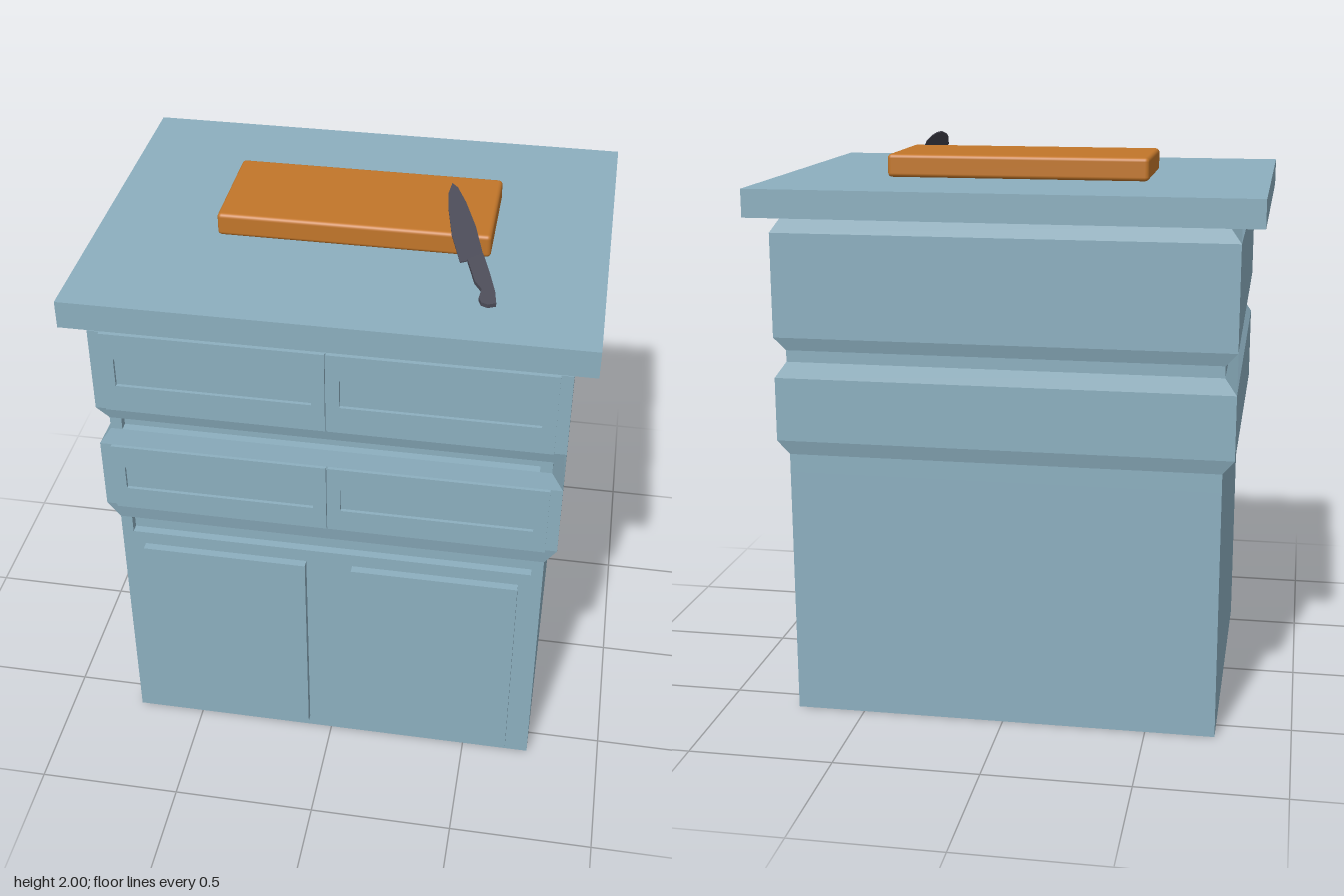
import * as THREE from 'three';
import { RoundedBoxGeometry } from 'three/addons/geometries/RoundedBoxGeometry.js';

const paint = new THREE.MeshStandardMaterial({ color: 0x8cafbf, flatShading: true });
const wood = new THREE.MeshStandardMaterial({ color: 0xc2762a });
const steel = new THREE.MeshStandardMaterial({ color: 0x4a4a56, flatShading: true });

function add(parent, name, geometry, material, x = 0, y = 0, z = 0) {
  const mesh = new THREE.Mesh(geometry, material);
  mesh.name = name;
  mesh.position.set(x, y, z);
  parent.add(mesh);
  return mesh;
}

// Box given by its limits
function block(parent, name, x0, x1, y0, y1, z0, z1) {
  return add(parent, name, new THREE.BoxGeometry(x1 - x0, y1 - y0, z1 - z0), paint,
    (x0 + x1) / 2, (y0 + y1) / 2, (z0 + z1) / 2);
}

function rectPath(path, x0, x1, y0, y1) {
  path.moveTo(x0, y0);
  path.lineTo(x1, y0);
  path.lineTo(x1, y1);
  path.lineTo(x0, y1);
  path.closePath();
  return path;
}

// Cabinet shell: rings [front height, back height, wide?, slot above?]
function cabinetGeometry() {
  const levels = [
    [0, 0, 0, 0], [0.875, 0.875, 0, 1], [0.94, 0.94, 0, 0],
    [1.005, 0.99, 1, 0], [1.265, 1.21, 1, 0],
    [1.325, 1.265, 0, 1], [1.37, 1.305, 0, 0],
    [1.415, 1.35, 1, 0], [1.72, 1.705, 1, 0], [1.76, 1.76, 0, 0],
  ];
  const rings = levels.map(([yf, yb, wide]) => {
    const x = wide ? 0.78 : 0.74, zf = wide ? 0.605 : 0.593, zb = wide ? -0.61 : -0.597;
    return [[-x, yf, zf], [x, yf, zf], [x, yb, zb], [-x, yb, zb]];
  });
  const pos = [];
  const quad = (a, b, c, d) => pos.push(...a, ...b, ...c, ...a, ...c, ...d);
  for (let i = 0; i < rings.length - 1; i++) {
    const lo = rings[i], hi = rings[i + 1];
    for (let s = 0; s < 4; s++) {
      const t = (s + 1) % 4;
      if (s > 0 || !levels[i][3]) { quad(lo[s], lo[t], hi[t], hi[s]); continue; }
      // Front row with a sunken slot
      const y0 = lo[0][1], y1 = hi[0][1], z = lo[0][2], w = 0.7, d = z - 0.03;
      for (const [a, b] of [[-0.74, -w], [w, 0.74]]) quad([a, y0, z], [b, y0, z], [b, y1, z], [a, y1, z]);
      quad([-w, y0, d], [w, y0, d], [w, y1, d], [-w, y1, d]);
      quad([-w, y0, z], [w, y0, z], [w, y0, d], [-w, y0, d]);
      quad([-w, y1, d], [w, y1, d], [w, y1, z], [-w, y1, z]);
      quad([-w, y0, z], [-w, y0, d], [-w, y1, d], [-w, y1, z]);
      quad([w, y0, d], [w, y0, z], [w, y1, z], [w, y1, d]);
    }
  }
  const base = rings[0], top = rings[rings.length - 1];
  quad(base[3], base[2], base[1], base[0]);
  quad(top[0], top[1], top[2], top[3]);
  const geo = new THREE.BufferGeometry();
  geo.setAttribute('position', new THREE.Float32BufferAttribute(pos, 3));
  geo.computeVertexNormals();
  return geo;
}

// Flat plate from plan points [x, z], sloping up toward the back
function slopedPlate(points, thickness, lift) {
  const shape = new THREE.Shape(points.map(([x, z]) => new THREE.Vector2(x, -z)));
  const geo = new THREE.ExtrudeGeometry(shape, { depth: thickness, bevelEnabled: false });
  geo.rotateX(-Math.PI / 2);
  const p = geo.attributes.position;
  for (let i = 0; i < p.count; i++) p.setY(i, p.getY(i) + lift + (0.475 - p.getZ(i)) * 0.265);
  geo.computeVertexNormals();
  return geo;
}

export function createModel() {
  const model = new THREE.Group();
  model.name = 'kitchenIsland';

  add(model, 'cabinet', cabinetGeometry(), paint);
  block(model, 'countertop', -0.855, 0.855, 1.76, 1.855, -0.66, 0.66);

  // Drawer fronts with sunken centre panels, and doors below
  const drawers = [[1.005, 1.265, 1.09, 1.18], [1.42, 1.72, 1.52, 1.625]];
  for (const side of [-1, 1]) {
    for (const [y0, y1, p0, p1] of drawers) {
      const shape = rectPath(new THREE.Shape(), 0.003, 0.74, y0, y1);
      shape.holes.push(rectPath(new THREE.Path(), 0.045, 0.695, p0, p1));
      const geo = new THREE.ExtrudeGeometry(shape, { depth: 0.014, bevelEnabled: false });
      geo.translate(-0.3715, 0, 0);
      add(model, 'drawerFront', geo, paint, side * 0.3715, 0, 0.603);
    }
    const cx = side * 0.37;
    block(model, 'door', cx - 0.289, cx + 0.289, 0.045, 0.825, 0.585, 0.622);
  }

  // Cutting board
  add(model, 'cuttingBoard', new RoundedBoxGeometry(0.915, 0.08, 0.4, 3, 0.014), wood, 0.0125, 1.895, -0.03);

  // Knife leaning on the board
  const knife = new THREE.Group();
  knife.name = 'knife';
  model.add(knife);
  add(knife, 'knifeBlade', slopedPlate([
    [0.314, -0.049], [0.307, 0.0], [0.314, 0.06], [0.342, 0.186], [0.383, 0.3],
    [0.406, 0.291], [0.452, 0.259], [0.415, 0.14], [0.37, 0.034], [0.335, -0.03],
  ], 0.004, 1.86), steel);
  add(knife, 'knifeHandle', slopedPlate([
    [0.406, 0.291], [0.42, 0.328], [0.439, 0.379], [0.465, 0.411], [0.46, 0.448],
    [0.47, 0.466], [0.492, 0.473], [0.517, 0.464], [0.508, 0.416], [0.485, 0.347], [0.452, 0.259],
  ], 0.013, 1.856), steel);

  return model;
}
